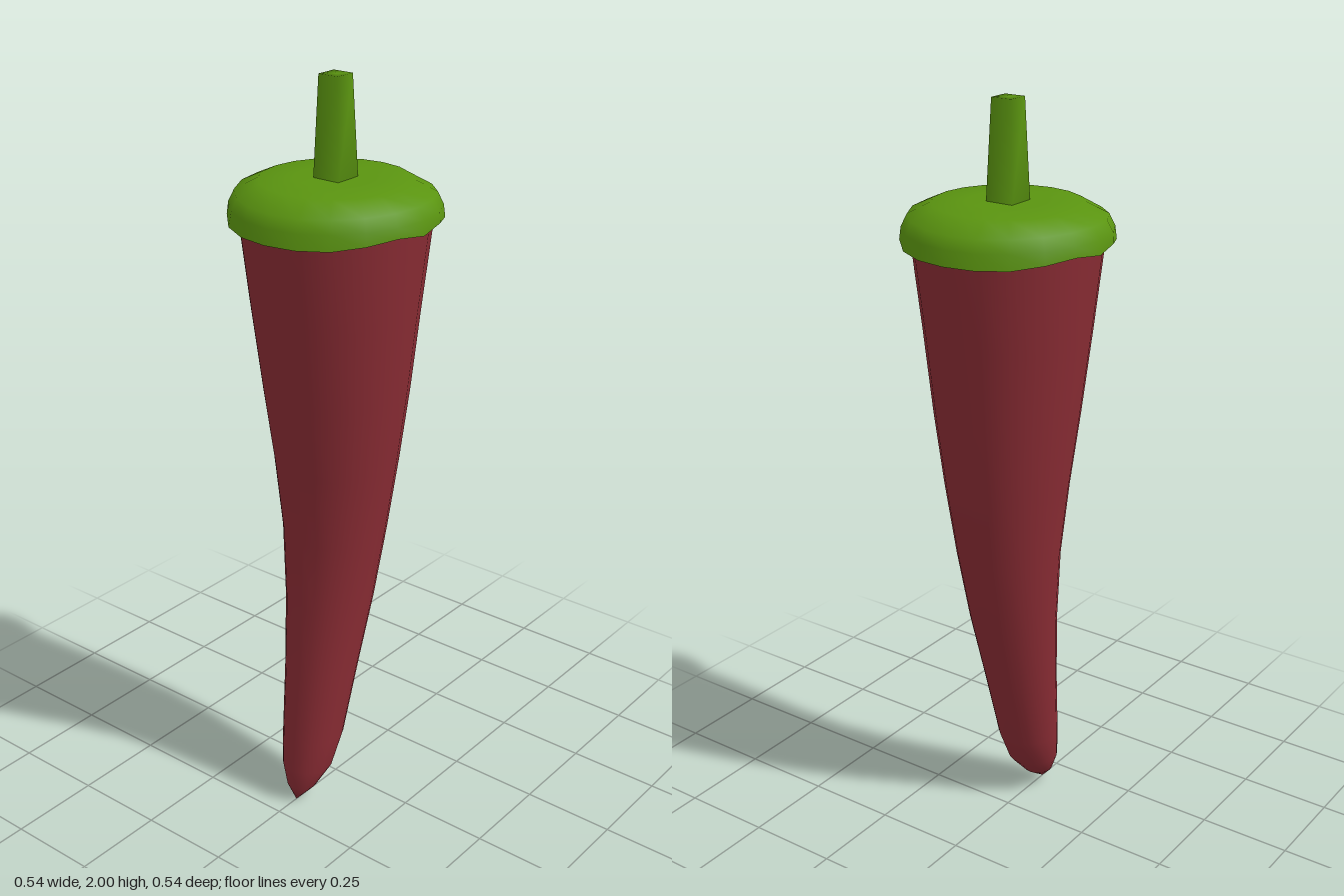
import * as THREE from 'three';
import { mergeVertices } from 'three/addons/utils/BufferGeometryUtils.js';

const SIDES = 20;

// Smooth surface through rings listed from top to bottom; ring(angle) gives [radius, y, zOffset], angle 0 = front.
function loft(rings) {
  const pos = [], index = [];
  rings.forEach((ring, i) => {
    for (let j = 0; j < SIDES; j++) {
      const a = (j / SIDES) * Math.PI * 2;
      const [r, y, z = 0] = ring(a);
      pos.push(r * Math.sin(a), y, z + r * Math.cos(a));
      if (i === 0) continue;
      const k = (j + 1) % SIDES;
      const up = (i - 1) * SIDES, low = i * SIDES;
      index.push(up + j, low + j, low + k, up + j, low + k, up + k);
    }
  });
  const geo = new THREE.BufferGeometry();
  geo.setAttribute('position', new THREE.Float32BufferAttribute(pos, 3));
  geo.setIndex(index);
  const merged = mergeVertices(geo, 1e-5);
  merged.computeVertexNormals();
  return merged;
}

export function createModel() {
  const group = new THREE.Group();
  const red = new THREE.MeshStandardMaterial({ color: 0x8a2c34 });
  const green = new THREE.MeshStandardMaterial({ color: 0x5a9410 });
  const add = (name, geo, mat) => {
    const mesh = new THREE.Mesh(geo, mat);
    mesh.name = name;
    group.add(mesh);
  };

  // Pepper body: [y, radius, z of centre], curling forward to the tip
  const body = [
    [1.70, 0.243, 0], [1.64, 0.24, 0], [1.42, 0.215, 0], [1.2, 0.19, -0.003],
    [1.0, 0.164, -0.004], [0.8, 0.139, 0.003], [0.6, 0.119, 0.026], [0.4, 0.1, 0.062],
    [0.2, 0.084, 0.1], [0.11, 0.07, 0.125], [0.05, 0.041, 0.151], [0.004, 0, 0.176],
  ];
  add('body', loft(body.map(([y, r, z]) => () => [r, y, z])), red);

  // Cap: flat top, rounded shoulder and a lip that lifts in a small wave at both sides
  const side = (a) => Math.sin(a) ** 2;
  const lift = [0.01, 0.02, 0.011, 0.002];
  const lipY = (a) => {
    const stepsFromSide = Math.round(Math.asin(Math.abs(Math.cos(a))) / (Math.PI * 2 / SIDES));
    return 1.643 + (lift[stepsFromSide] ?? 0);
  };
  add('cap', loft([
    () => [0, 1.75],
    () => [0.1, 1.75],
    () => [0.19, 1.747],
    (a) => [0.245 + 0.005 * side(a), 1.712 + 0.008 * side(a)],
    (a) => [0.257 + 0.01 * side(a), 1.68 + 0.01 * side(a)],
    (a) => [0.268, lipY(a)],
  ]), green);

  // Underside of the lip, between cap and body
  add('capUnderside', loft([
    (a) => [0.268, lipY(a)],
    (a) => [0.236, lipY(a) + 0.012],
  ]), red);

  // Square tapered stem with softly shaded edges
  let stem = new THREE.CylinderGeometry(0.029 * Math.SQRT2, 0.039 * Math.SQRT2, 0.26, 4);
  stem.rotateY(Math.PI / 4).translate(0, 1.87, 0);
  stem.deleteAttribute('normal');
  stem.deleteAttribute('uv');
  stem = mergeVertices(stem, 1e-5);
  stem.computeVertexNormals();
  add('stem', stem, green);

  return group;
}
